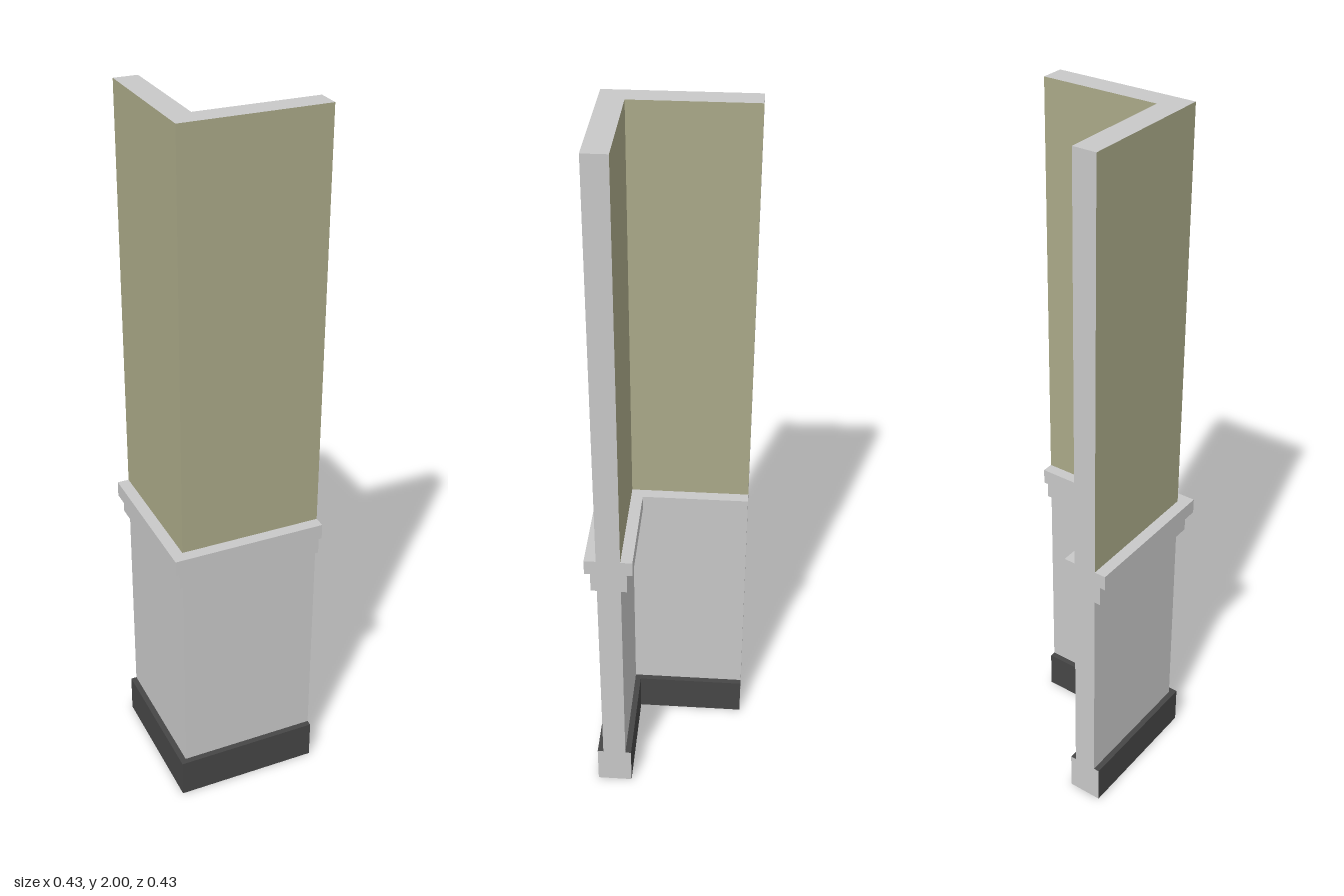
import * as THREE from 'three';

const CENTRE = 0.15;  // distance of each arm's centre line from the middle
const END = 0.216;    // where both arms are cut off

const material = (name, color) => {
  const m = new THREE.MeshStandardMaterial({ color });
  m.name = name;
  return m;
};

// One L-shaped layer: long faces take `face`, cut ends and underside stay `plain`
function layer(name, half, y0, y1, plain, face, top) {
  const o = CENTRE + half, i = CENTRE - half;
  const outline = new THREE.Shape([
    [-o, -o], [END, -o], [END, -i], [-i, -i], [-i, END], [-o, END],
  ].map(([x, y]) => new THREE.Vector2(x, y)));
  const geo = new THREE.ExtrudeGeometry(outline, { depth: y1 - y0, bevelEnabled: false });
  geo.rotateX(-Math.PI / 2).translate(0, y0, 0);

  // Choose a material for every triangle from where it faces and lies
  const p = geo.attributes.position, n = geo.attributes.normal;
  geo.clearGroups();
  for (let v = 0; v < p.count; v += 3) {
    const up = n.getY(v);
    const cutEnd = (n.getX(v) > 0.9 && p.getX(v) > END - 0.001) ||
      (n.getZ(v) < -0.9 && p.getZ(v) < -END + 0.001);
    geo.addGroup(v, 3, up > 0.5 ? 2 : (up < -0.5 || cutEnd) ? 0 : 1);
  }
  const mesh = new THREE.Mesh(geo, [plain, face, top]);
  mesh.name = name;
  return mesh;
}

export function createModel() {
  const grey = material('light grey', 0xc8c8c8);
  const olive = material('olive paint', 0xaaa988);
  const dark = material('dark skirting', 0x464646);

  const group = new THREE.Group();
  group.name = 'cornerWall';
  group.add(
    layer('skirting', 0.05, 0, 0.115, grey, dark, dark),
    layer('lowerWall', 0.033, 0.115, 0.745, grey, grey, grey),
    layer('railMoulding', 0.05, 0.745, 0.803, grey, grey, grey),
    layer('railCap', 0.066, 0.803, 0.847, grey, grey, grey),
    layer('upperWall', 0.033, 0.847, 2, grey, olive, grey),
  );
  return group;
}
